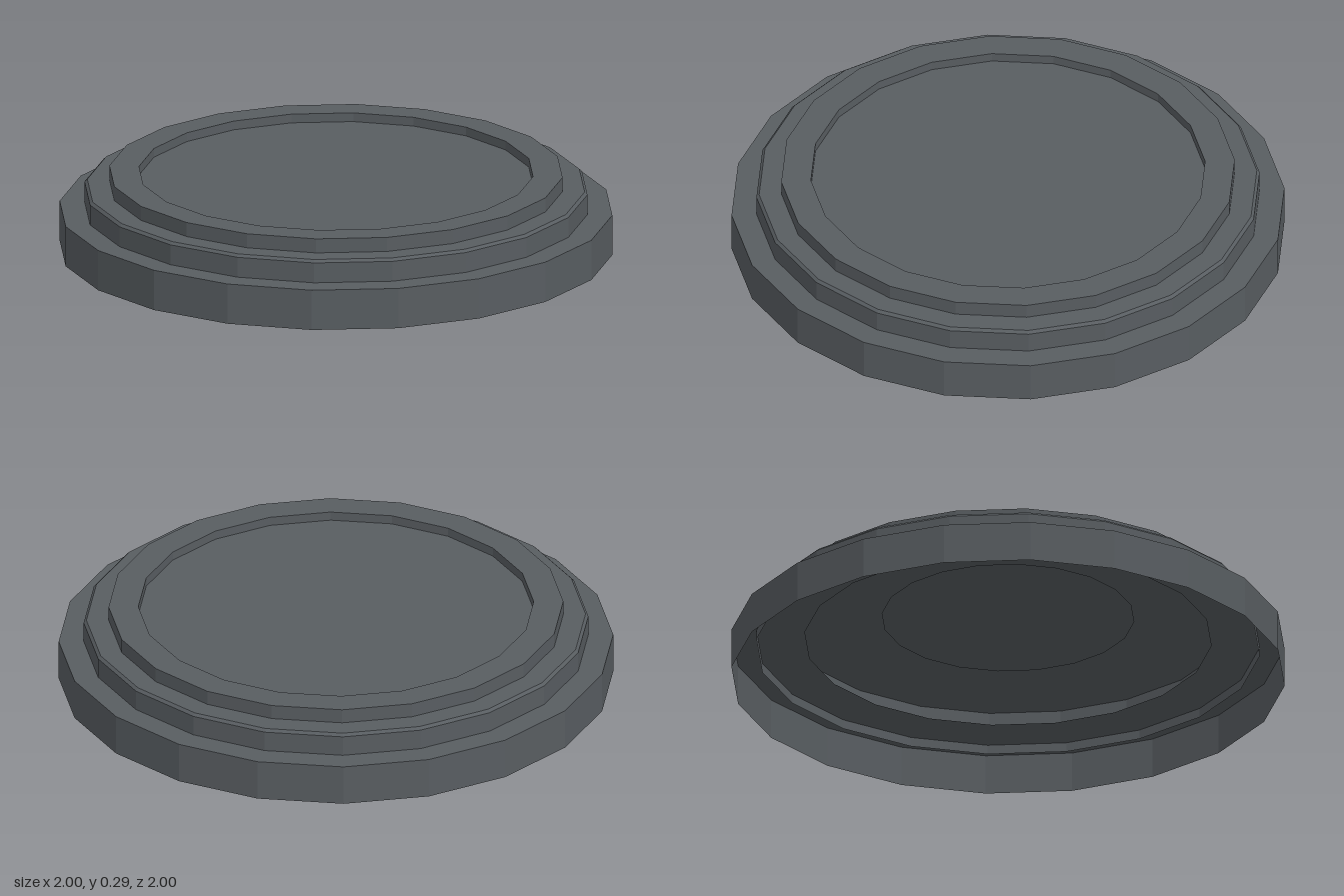
import * as THREE from 'three';

const SIDES = 20;

export function createModel() {
  const model = new THREE.Group();
  model.name = 'steppedRoundBase';

  // Thin open shells, so both faces are drawn
  const darkGrey = new THREE.MeshStandardMaterial({ color: 0x585d61, flatShading: true, side: THREE.DoubleSide });
  darkGrey.name = 'dark grey';

  // Turns a [radius, height] profile into a faceted ring; profiles run up the outside, then inward
  const tier = (name, profile) => {
    const points = profile.map(([r, y]) => new THREE.Vector2(r, y));
    const mesh = new THREE.Mesh(new THREE.LatheGeometry(points, SIDES), darkGrey);
    mesh.name = name;
    model.add(mesh);
  };

  // Wide foot, open below, with a ledge reaching inward
  tier('lowerTier', [[1, 0], [1, 0.15], [0.735, 0.15]]);

  // Middle step with a small bevel, sunk slightly through the ledge
  tier('middleTier', [[0.91, 0.115], [0.91, 0.225], [0.9, 0.235], [0.455, 0.235]]);

  // Raised rim around the shallow recessed plate
  tier('topRimAndPlate', [[0.82, 0.15], [0.82, 0.288], [0.713, 0.288], [0.713, 0.255], [0, 0.255]]);

  return model;
}
